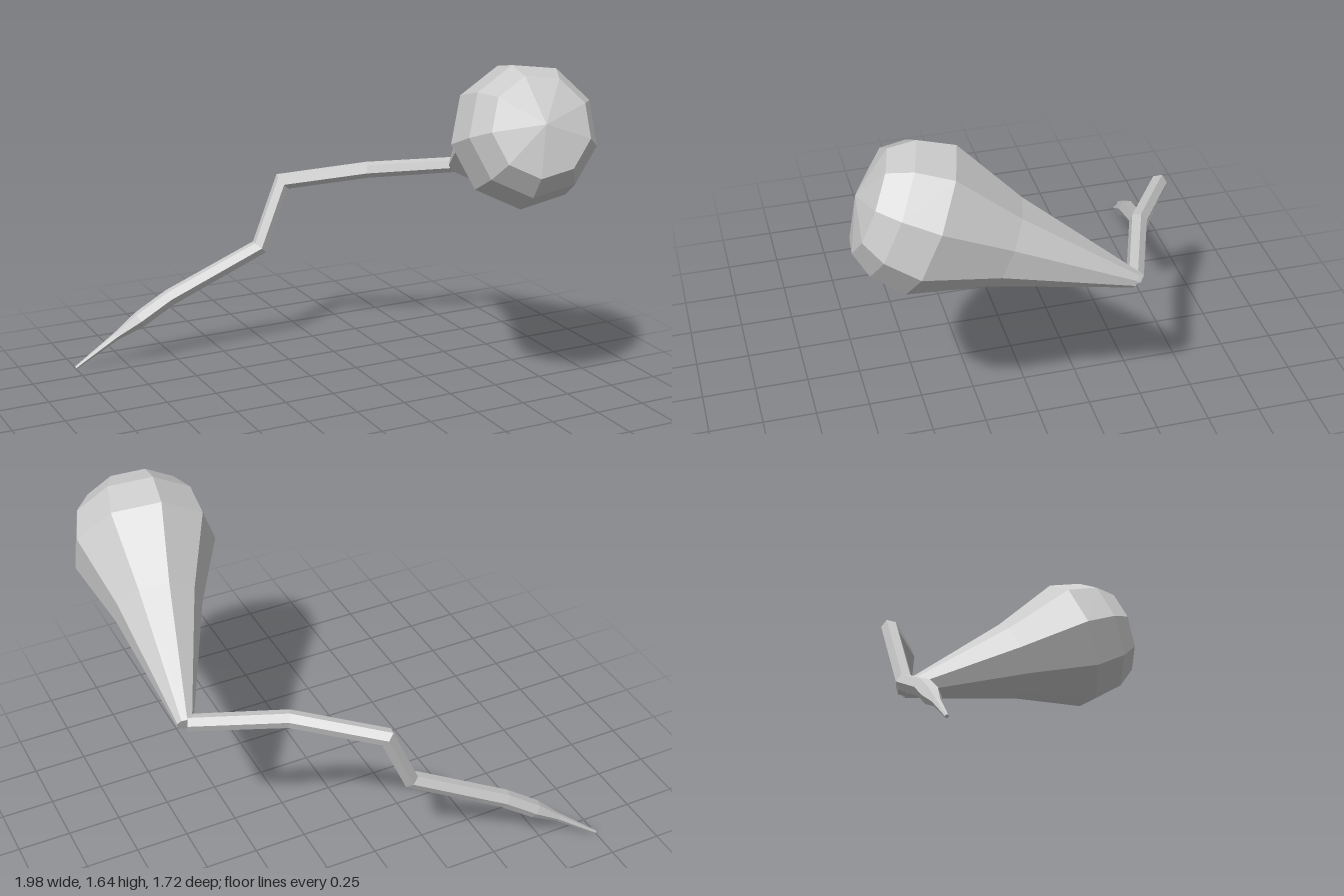
import * as THREE from 'three';

const material = new THREE.MeshStandardMaterial({ color: 0xcccccc, flatShading: true });
const V = (x, y, z) => new THREE.Vector3(x, y, z);

// Faceted tube along straight segments, with mitred joints and a radius per point.
function mitredTube(path, sides) {
  const points = path.map(([x, y, z]) => V(x, y, z));
  const dirs = points.slice(1).map((p, i) => p.clone().sub(points[i]).normalize());
  const u = V(0, 1, 0).cross(dirs[0]).normalize();
  const v = dirs[0].clone().cross(u);
  let offsets = Array.from({ length: sides }, (_, i) => {
    const a = (i / sides) * Math.PI * 2;
    return u.clone().multiplyScalar(Math.cos(a)).addScaledVector(v, Math.sin(a));
  });
  const positions = [];
  const index = [];
  points.forEach((p, k) => {
    const before = dirs[Math.max(k - 1, 0)];
    const after = dirs[Math.min(k, dirs.length - 1)];
    const normal = before.clone().add(after).normalize();
    // Slide the ring along the incoming segment onto the mitre plane.
    const ring = offsets.map((e) =>
      e.clone().addScaledVector(before, -e.dot(normal) / before.dot(normal)));
    ring.forEach((o) => positions.push(...p.clone().addScaledVector(o, path[k][3]).toArray()));
    offsets = ring.map((o) => o.clone().addScaledVector(after, -o.dot(after)));
    if (k === 0) return;
    for (let i = 0; i < sides; i++) {
      const a = (k - 1) * sides + i;
      const b = (k - 1) * sides + ((i + 1) % sides);
      index.push(a, b, b + sides, a, b + sides, a + sides);
    }
  });
  // End caps
  const last = (points.length - 1) * sides;
  for (let i = 1; i < sides - 1; i++) {
    index.push(0, i + 1, i, last, last + i, last + i + 1);
  }
  const geometry = new THREE.BufferGeometry();
  geometry.setAttribute('position', new THREE.Float32BufferAttribute(positions, 3));
  geometry.setIndex(index);
  geometry.computeVertexNormals();
  return geometry;
}

export function createModel() {
  const model = new THREE.Group();
  model.name = 'bulbOnStem';

  // Crooked stem: x, y, z, radius from the pointed tip to the neck
  const stem = new THREE.Mesh(mitredTube([
    [-1.0, 0.01, -0.85, 0.008],
    [-0.8, 0.155, -0.81, 0.02],
    [-0.68, 0.235, -0.785, 0.042],
    [-0.53, 0.335, -0.757, 0.042],
    [-0.08, 0.56, -0.67, 0.04],
    [0.06, 0.875, -0.695, 0.04],
    [0.42, 0.945, -0.475, 0.04],
    [0.83, 0.96, -0.325, 0.038],
  ], 6), material);
  stem.name = 'stem';
  model.add(stem);

  // Pear-shaped bulb: radius and distance along its axis
  const profile = [
    [0, 0], [0.037, 0], [0.2, 0.6], [0.33, 0.937], [0.3, 1.1], [0.23, 1.2], [0, 1.255],
  ].map(([r, t]) => new THREE.Vector2(r, t));
  const bulb = new THREE.Mesh(
    new THREE.LatheGeometry(profile, 9, THREE.MathUtils.degToRad(13)), material);
  bulb.name = 'bulb';
  const axis = V(-0.18, 0.38, 0.907).normalize();
  const side = axis.clone().cross(V(0, 1, 0)).normalize();
  const up = side.clone().cross(axis);
  bulb.quaternion.setFromRotationMatrix(new THREE.Matrix4().makeBasis(side, axis, up));
  bulb.position.set(0.84, 0.955, -0.325);
  model.add(bulb);

  return model;
}
